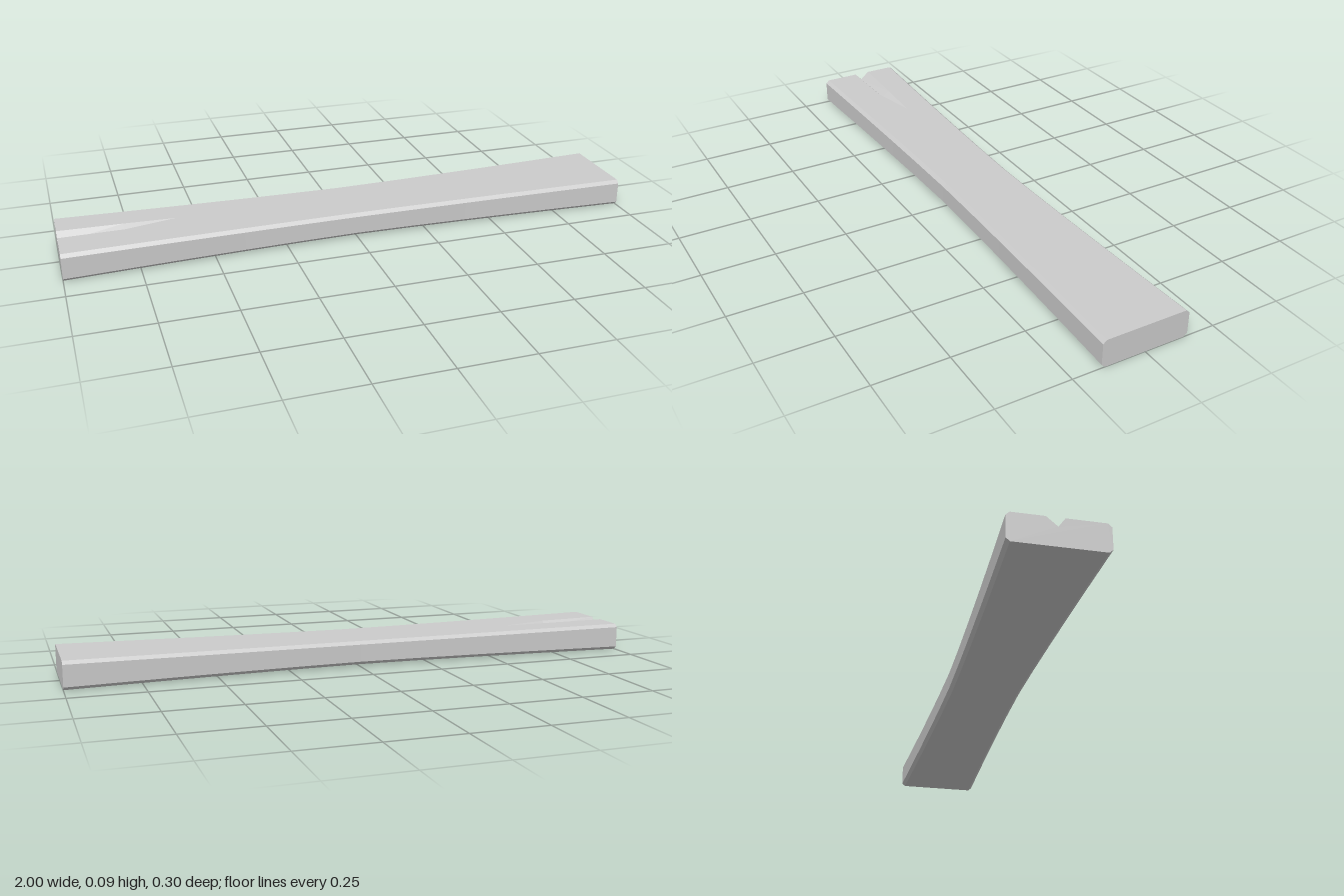
import * as THREE from 'three';

// Stations along the plank: x, then z of the split's back lip, floor and front lip, and its depth
const STATIONS = [
  [-1, -0.038, -0.003, 0.018, 0.03],
  [-0.78, -0.034, -0.004, 0.013, 0.018],
  [-0.6, -0.028, -0.028, -0.028, 0],
  [-0.4], [-0.2], [0], [0.2], [0.4], [0.6], [0.8], [1],
];

// Chamfered cross-section as (z, y) points, slimmer towards the middle, with the split in its top
function section([x, back = -0.028, floor = -0.028, front = -0.028, depth = 0]) {
  const t = Math.abs(x) ** 1.4;
  const w = 0.126 + 0.026 * t;
  const low = 0.007 * (1 - t), high = 0.095 - 0.006 * (1 - t);
  const cz = 0.012, cy = 0.011;
  return [
    [-w + cz, low], [w - cz, low], [w, low + cy], [w, high - cy], [w - cz, high],
    [front, high], [floor, high - depth], [back, high],
    [-w + cz, high], [-w, high - cy], [-w, low + cy],
  ].map(([z, y]) => new THREE.Vector3(x, y, z));
}

function plankGeometry() {
  const rings = STATIONS.map(section);
  const points = [];
  const tri = (a, b, c) => {
    if (new THREE.Triangle(a, b, c).getArea() > 1e-9) points.push(a, b, c);
  };

  // Long faces
  for (let s = 0; s < rings.length - 1; s++) {
    const n = rings[s].length;
    for (let i = 0; i < n; i++) {
      const j = (i + 1) % n;
      const a = rings[s][i], b = rings[s][j], c = rings[s + 1][j], d = rings[s + 1][i];
      tri(a, d, c);
      tri(a, c, b);
    }
  }

  // Sawn ends; the plain end leaves out the closed split
  const cap = (ring, flip) => {
    const outline = ring.map((p) => new THREE.Vector2(p.z, p.y));
    for (const [i, j, k] of THREE.ShapeUtils.triangulateShape(outline, [])) {
      if (flip) tri(ring[i], ring[k], ring[j]);
      else tri(ring[i], ring[j], ring[k]);
    }
  };
  cap(rings[0], false);
  cap(rings[rings.length - 1].filter((p, i) => i < 5 || i > 7), true);

  const geometry = new THREE.BufferGeometry().setFromPoints(points);
  geometry.computeVertexNormals();
  return geometry;
}

export function createModel() {
  const group = new THREE.Group();
  group.name = 'woodenPlank';
  const material = new THREE.MeshStandardMaterial({ color: 0xcccccc, flatShading: true });
  const plank = new THREE.Mesh(plankGeometry(), material);
  plank.name = 'splitPlank';
  group.add(plank);
  return group;
}
